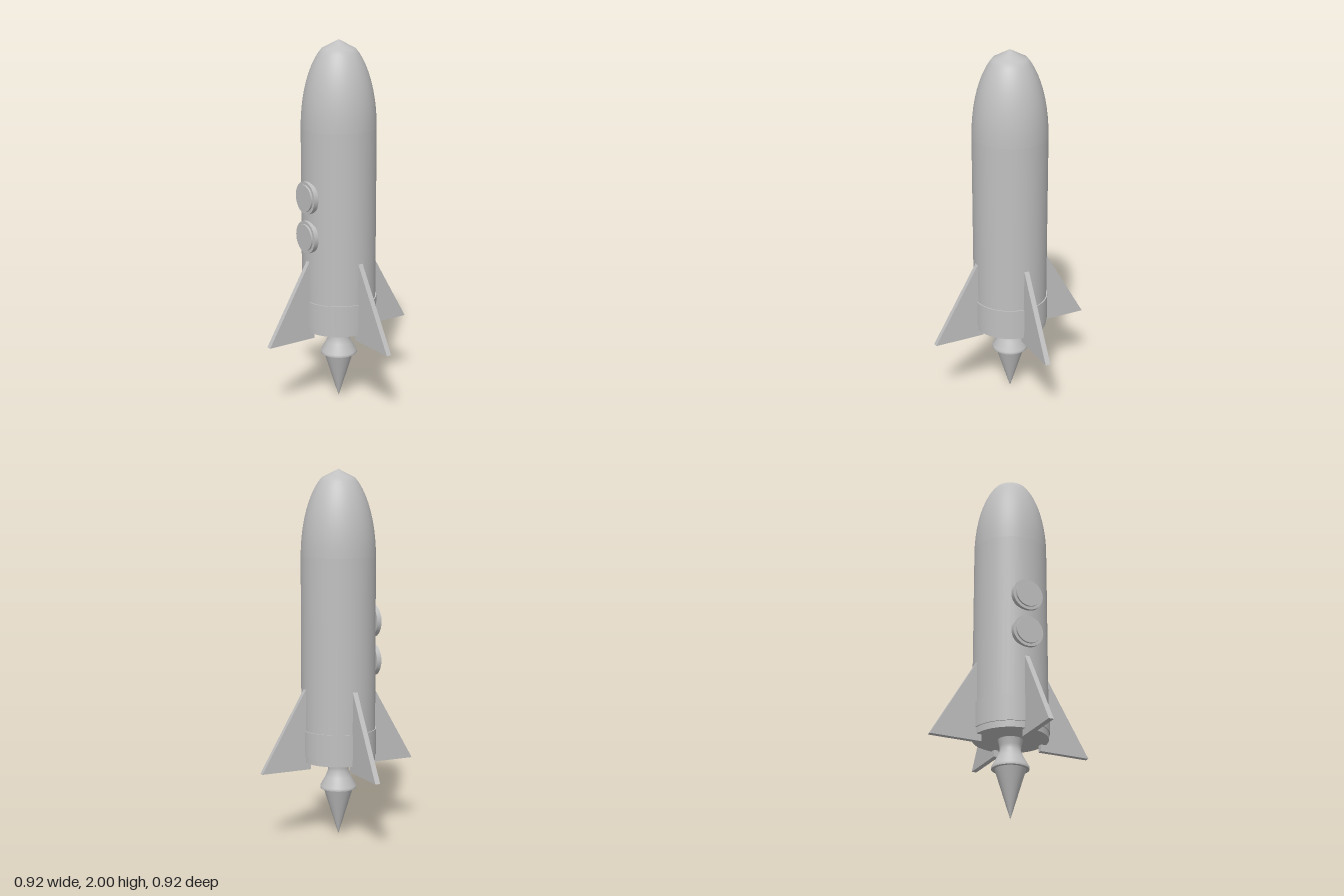
import * as THREE from 'three';

export function createModel() {
  const group = new THREE.Group();
  const grey = new THREE.MeshStandardMaterial({ color: 0xc0c0c0 });
  grey.name = 'grey';

  const add = (name, geometry, y = 0, z = 0) => {
    const mesh = new THREE.Mesh(geometry, grey);
    mesh.name = name;
    mesh.position.set(0, y, z);
    group.add(mesh);
    return mesh;
  };
  const lathe = (points) =>
    new THREE.LatheGeometry(points.map(([r, y]) => new THREE.Vector2(r, y)), 48);

  // Straight hull with a closed base
  add('hull', new THREE.CylinderGeometry(0.202, 0.202, 1.11, 48), 0.98);

  // Elliptical nose ending in a blunt point
  const nose = [];
  for (let i = 0; i <= 10; i++) {
    const a = (i / 10) * 1.11;
    nose.push([0.202 * Math.cos(a), 1.535 + 0.468 * Math.sin(a)]);
  }
  nose.push([0, 2]);
  add('noseCone', lathe(nose));

  // Collar around the tail
  add('tailBand', new THREE.CylinderGeometry(0.208, 0.208, 0.14, 48), 0.53);

  // Engine nozzle: narrow neck, flared skirt and flat underside
  add('nozzle', lathe([[0.066, 0.425], [0.058, 0.39], [0.056, 0.365], [0.07, 0.33],
    [0.099, 0.278], [0.099, 0.266]].reverse()));
  add('nozzleBase', new THREE.CylinderGeometry(0.099, 0.099, 0.004, 48), 0.266);

  // Pointed exhaust flame
  add('flame', new THREE.ConeGeometry(0.082, 0.265, 48).rotateX(Math.PI), 0.1325);

  // Two round portholes: rim and raised pane
  for (const y of [1.18, 0.965]) {
    add('portholeRim', new THREE.CylinderGeometry(0.088, 0.088, 0.026, 40).rotateX(Math.PI / 2), y, 0.205);
    add('portholePane', new THREE.CylinderGeometry(0.072, 0.072, 0.03, 40).rotateX(Math.PI / 2), y, 0.213);
  }

  // Four swept fins
  const outline = new THREE.Shape(
    [[0.172, 0.388], [0.458, 0.388], [0.2, 0.83], [0.172, 0.83]].map(([x, y]) => new THREE.Vector2(x, y)));
  const finGeometry = new THREE.ExtrudeGeometry(outline, { depth: 0.028, bevelEnabled: false });
  finGeometry.translate(0, 0, -0.014);
  for (let i = 0; i < 4; i++) add('fin', finGeometry).rotation.y = (i * Math.PI) / 2;

  return group;
}
